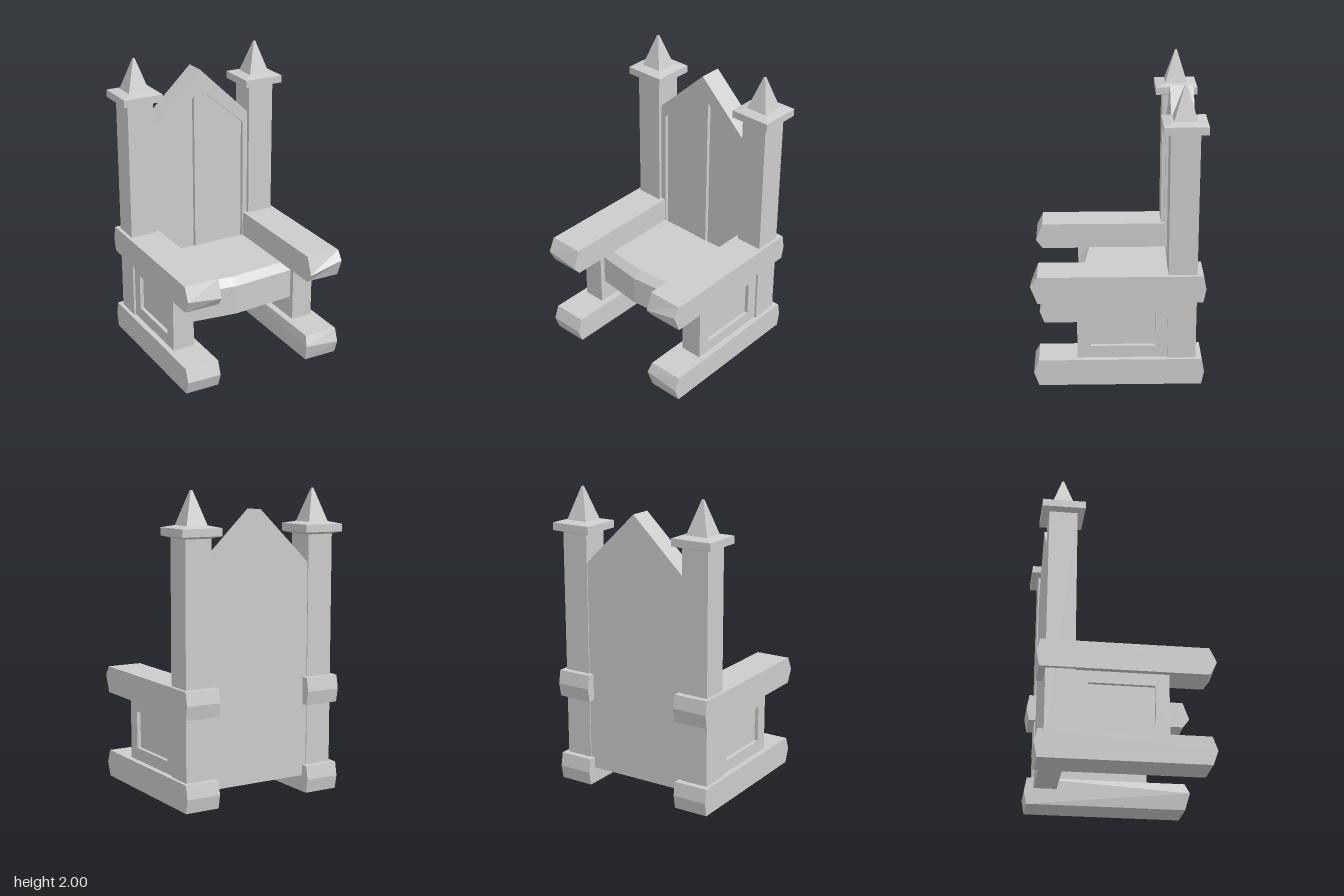
import * as THREE from 'three';

const material = new THREE.MeshStandardMaterial({ color: 0xcccccc, flatShading: true });

function add(parent, name, geometry) {
  geometry.computeVertexNormals();
  const mesh = new THREE.Mesh(geometry, material);
  mesh.name = name;
  parent.add(mesh);
}

const toShape = pts => new THREE.Shape(pts.map(p => new THREE.Vector2(...p)));
const rect = (x0, x1, y0, y1) => [[x0, y0], [x1, y0], [x1, y1], [x0, y1]];

function block(x0, x1, y0, y1, z0, z1) {
  return new THREE.BoxGeometry(x1 - x0, y1 - y0, z1 - z0)
    .translate((x0 + x1) / 2, (y0 + y1) / 2, (z0 + z1) / 2);
}

// Flat slab of an outline with optional cut-outs, from z0 to z1
function slab(points, z0, z1, holes = []) {
  const shape = toShape(points);
  shape.holes = holes.map(toShape);
  return new THREE.ExtrudeGeometry(shape, { depth: z1 - z0, bevelEnabled: false }).translate(0, 0, z0);
}

// Outline given as (z, y), extruded sideways from x0 to x1
function crosswise(points, x0, x1, steps = 1, holes = []) {
  const shape = toShape(points);
  shape.holes = holes.map(toShape);
  return new THREE.ExtrudeGeometry(shape, { depth: x1 - x0, bevelEnabled: false, steps })
    .rotateY(-Math.PI / 2).translate(x1, 0, 0);
}

function moveVertices(geometry, rule) {
  const p = geometry.attributes.position;
  const v = new THREE.Vector3();
  for (let i = 0; i < p.count; i++) {
    rule(v.fromBufferAttribute(p, i));
    p.setXYZ(i, v.x, v.y, v.z);
  }
  return geometry;
}

// Rough-hewn beam with wedge ends; the front ridge runs from inner to outer height
function beam(x0, x1, y0, y1, zFront, inner, outer) {
  const mid = (y0 + y1) / 2;
  const g = crosswise([
    [-0.545, y0], [0.52, y0], [zFront, mid], [0.52, y1], [-0.545, y1], [-0.562, mid],
  ], x0, x1);
  const innerX = Math.abs(x0) < Math.abs(x1) ? x0 : x1;
  return moveVertices(g, v => {
    if (v.z > 0.53) v.y = Math.abs(v.x - innerX) < 0.01 ? inner : outer;
  });
}

// Square turned profile from [half width, height] pairs
function squareLathe(profile, x, z) {
  const pts = profile.map(([h, y]) => new THREE.Vector2(h * Math.SQRT2, y));
  return new THREE.LatheGeometry(pts, 4, Math.PI / 4).translate(x, 0, z);
}

export function createModel() {
  const throne = new THREE.Group();
  throne.name = 'throne';

  // Pointed backrest with two sunken panels
  const back = new THREE.Group();
  back.name = 'backrest';
  throne.add(back);
  const outline = [[-0.365, 0.11], [0.365, 0.11], [0.365, 1.525], [0, 1.875], [-0.365, 1.525]];
  const sunken = [-1, 1].map(s =>
    [[s * 0.05, 0.175], [s * 0.33, 0.175], [s * 0.33, 1.455], [s * 0.05, 1.695]]);
  add(back, 'backBoard', slab(outline, -0.498, -0.372));
  add(back, 'backFrame', slab(outline, -0.372, -0.345, sunken));

  // Seat block with a bevelled, slightly bowed front
  const seat = crosswise([
    [-0.35, 0.34], [0.232, 0.34], [0.232, 0.545], [0.182, 0.595], [-0.35, 0.595],
  ], -0.385, 0.385, 2);
  add(throne, 'seat', moveVertices(seat, v => {
    if (Math.abs(v.x) < 0.01) {
      v.x = -0.06;
      if (v.z > 0) v.z += 0.038;
    }
  }));

  for (const s of [-1, 1]) {
    const side = new THREE.Group();
    side.name = s > 0 ? 'leftSide' : 'rightSide';
    throne.add(side);
    const span = (a, b) => s > 0 ? [a, b] : [-b, -a];

    // Rear post with cap and spire
    add(side, 'post', block(...span(0.365, 0.55), 0.02, 1.71, -0.505, -0.32));
    add(side, 'postCap', squareLathe(
      [[0, 1.705], [0.092, 1.705], [0.14, 1.72], [0.14, 1.77], [0.075, 1.785], [0, 1.785]], s * 0.455, -0.4125));
    add(side, 'spire', squareLathe([[0.074, 1.785], [0.006, 2], [0, 2]], s * 0.455, -0.4125));

    // Armrest and foot beams, each cut a little differently
    add(side, 'armrest', beam(...span(0.335, 0.575), 0.592, 0.773, 0.565, 0.652, s > 0 ? 0.71 : 0.68));
    const foot = beam(...span(0.338, 0.575), 0, 0.182, 0.553, s > 0 ? 0.115 : 0.09, 0.093);
    add(side, 'foot', moveVertices(foot, v => {
      if (s > 0 && v.z > 0.53 && v.x < 0.4) v.x = 0.325;
    }));

    // Side wall with a sunken panel on the outside
    const wall = rect(-0.33, 0.268, 0.17, 0.6);
    add(side, 'sideWall', crosswise(wall, ...span(0.385, 0.51)));
    add(side, 'sideFrame', crosswise(wall, ...span(0.51, 0.536), 1, [rect(-0.24, 0.18, 0.265, 0.513)]));
  }
  return throne;
}
